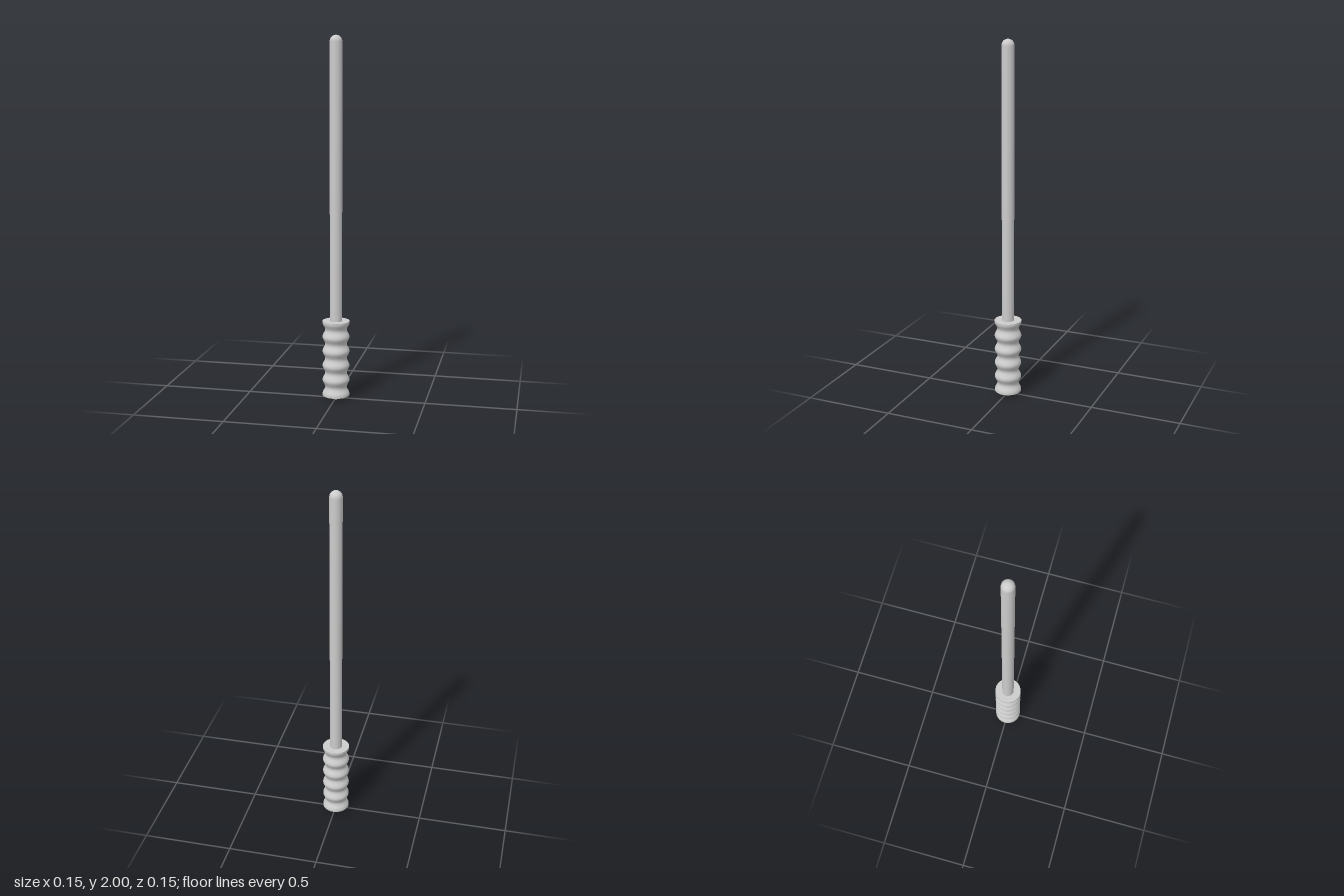
import * as THREE from 'three';

const material = new THREE.MeshStandardMaterial({ color: 0xcccccc });

// Revolve several smooth profile runs, keeping the edges between runs sharp
function revolve(name, runs, segments = 64) {
  const group = new THREE.Group();
  group.name = name;
  for (const [part, points] of Object.entries(runs)) {
    const profile = points.map(([r, y]) => new THREE.Vector2(r, y));
    const mesh = new THREE.Mesh(new THREE.LatheGeometry(profile, segments), material);
    mesh.name = part;
    group.add(mesh);
  }
  return group;
}

export function createModel() {
  const model = new THREE.Group();
  model.name = 'baton';

  // Straight rod with a flat foot and a hemispherical tip
  const rodR = 0.034;
  const shaft = [[rodR, 0], [rodR, 2 - rodR]];
  const tip = [];
  for (let i = 0; i <= 16; i++) {
    const a = (i / 16) * Math.PI / 2;
    tip.push([rodR * Math.cos(a), 2 - rodR + rodR * Math.sin(a)]);
  }
  model.add(revolve('rod', { rodFoot: [[0, 0], [rodR, 0]], rodShaft: shaft, rodTip: tip }));

  // Hand grip: four rounded finger ridges between two flared rims
  const bottom = 0.016, top = 0.442, rim = 0.008, gripR = 0.075, depth = 0.015;
  const ridges = [];
  const steps = 100, waves = 5;
  for (let i = 0; i <= steps; i++) {
    const t = i / steps;
    const wave = (1 - Math.cos(t * waves * Math.PI * 2)) / 2;
    ridges.push([gripR - depth * wave, bottom + rim + t * (top - bottom - 2 * rim)]);
  }
  model.add(revolve('grip', {
    gripBottom: [[rodR, bottom], [gripR, bottom]],
    gripLowerRim: [[gripR, bottom], [gripR, bottom + rim]],
    gripRidges: ridges,
    gripUpperRim: [[gripR, top - rim], [gripR, top]],
    gripTop: [[gripR, top], [rodR, top]],
  }));

  return model;
}
